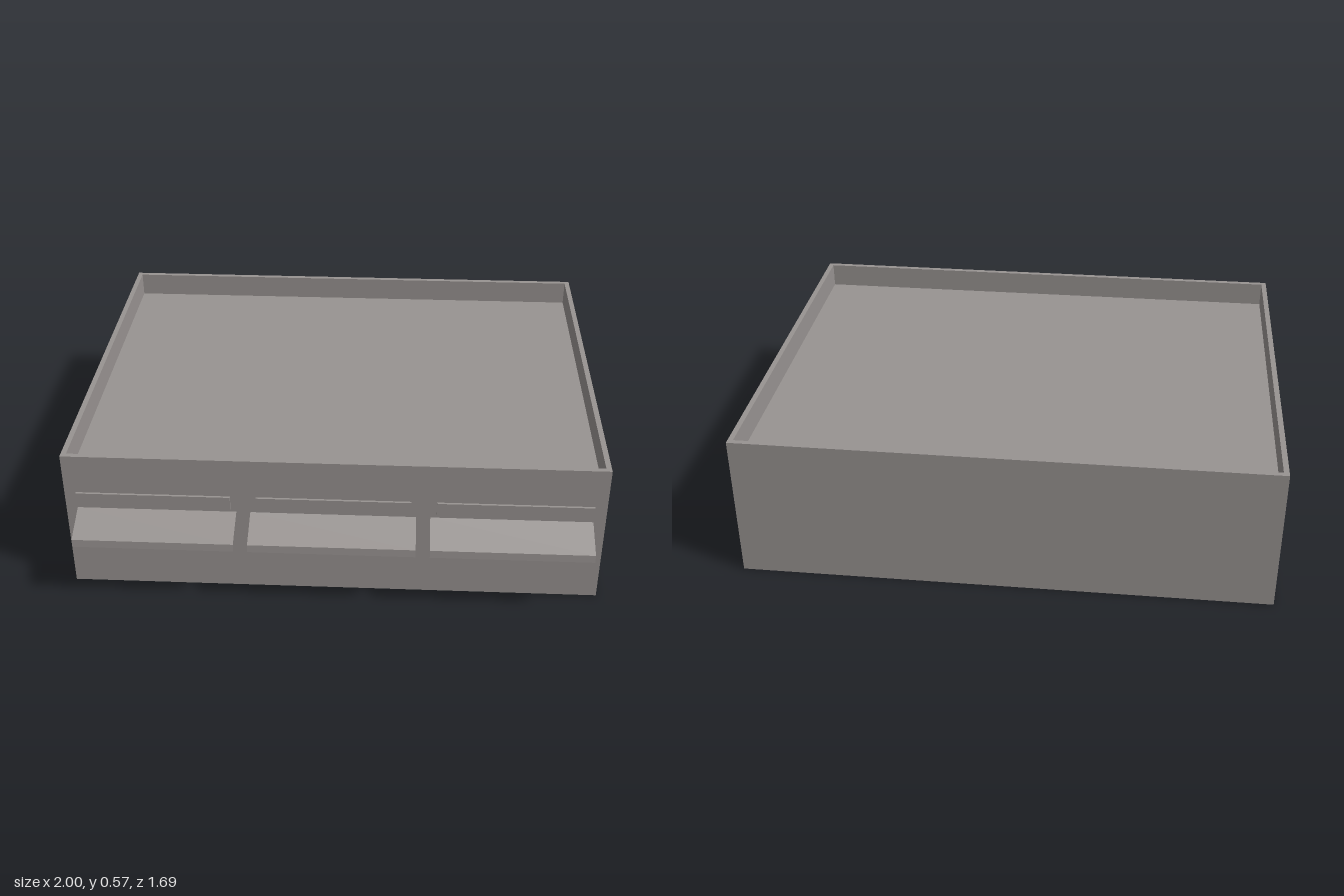
import * as THREE from 'three';

const W = 1, BACK = -0.845, FRONT = 0.713, TOP = 0.57, ROOF = 0.473, RIM = 0.02;

// Quad strip through rows of points; each row is one cross-section
function strip(rows) {
  const pos = [];
  for (let i = 0; i < rows.length - 1; i++) {
    for (let j = 0; j < rows[i].length - 1; j++) {
      const a = rows[i][j], b = rows[i][j + 1], c = rows[i + 1][j + 1], d = rows[i + 1][j];
      pos.push(...a, ...b, ...c, ...a, ...c, ...d);
    }
  }
  const g = new THREE.BufferGeometry();
  g.setAttribute('position', new THREE.Float32BufferAttribute(pos, 3));
  g.computeVertexNormals();
  return g;
}

// Closed rectangular ring at height y, inset from the outer walls
function ring(y, inset) {
  const x = W - inset, f = FRONT - inset, b = BACK + inset;
  return [[-x, y, f], [x, y, f], [x, y, b], [-x, y, b], [-x, y, f]];
}

export function createModel() {
  const model = new THREE.Group();
  const concrete = new THREE.MeshStandardMaterial({ color: 0x989391, side: THREE.DoubleSide });
  concrete.name = 'warm grey';

  const add = (name, geometry) => {
    const mesh = new THREE.Mesh(geometry, concrete);
    mesh.name = name;
    model.add(mesh);
    return mesh;
  };

  // Outer walls, flat rim and inner parapet; open underneath
  add('wallsAndParapet', strip([ring(0, 0), ring(TOP, 0), ring(TOP, RIM), ring(ROOF, RIM)]));

  // Sunken flat roof
  const roof = add('roof', new THREE.PlaneGeometry(2 * (W - RIM), FRONT - BACK - 2 * RIM));
  roof.rotation.x = -Math.PI / 2;
  roof.position.set(0, ROOF, (FRONT + BACK) / 2);

  // Three shop windows, each under-hung by a sloped awning with a short front lip
  const bays = [
    { window: [-0.957, -0.383], awning: [-0.957, -0.362] },
    { window: [-0.288, 0.286], awning: [-0.31, 0.305] },
    { window: [0.38, 0.955], awning: [0.357, 0.955] },
  ];
  const profile = [[0.345, FRONT], [0.29, 0.843], [0.26, 0.845]];
  for (const { window: [w0, w1], awning: [a0, a1] } of bays) {
    const plate = add('windowPanel', new THREE.BoxGeometry(w1 - w0, 0.062, 0.009));
    plate.position.set((w0 + w1) / 2, 0.382, FRONT + 0.0045);
    add('awning', strip([a0, a1].map((x) => profile.map(([y, z]) => [x, y, z]))));
  }
  return model;
}
